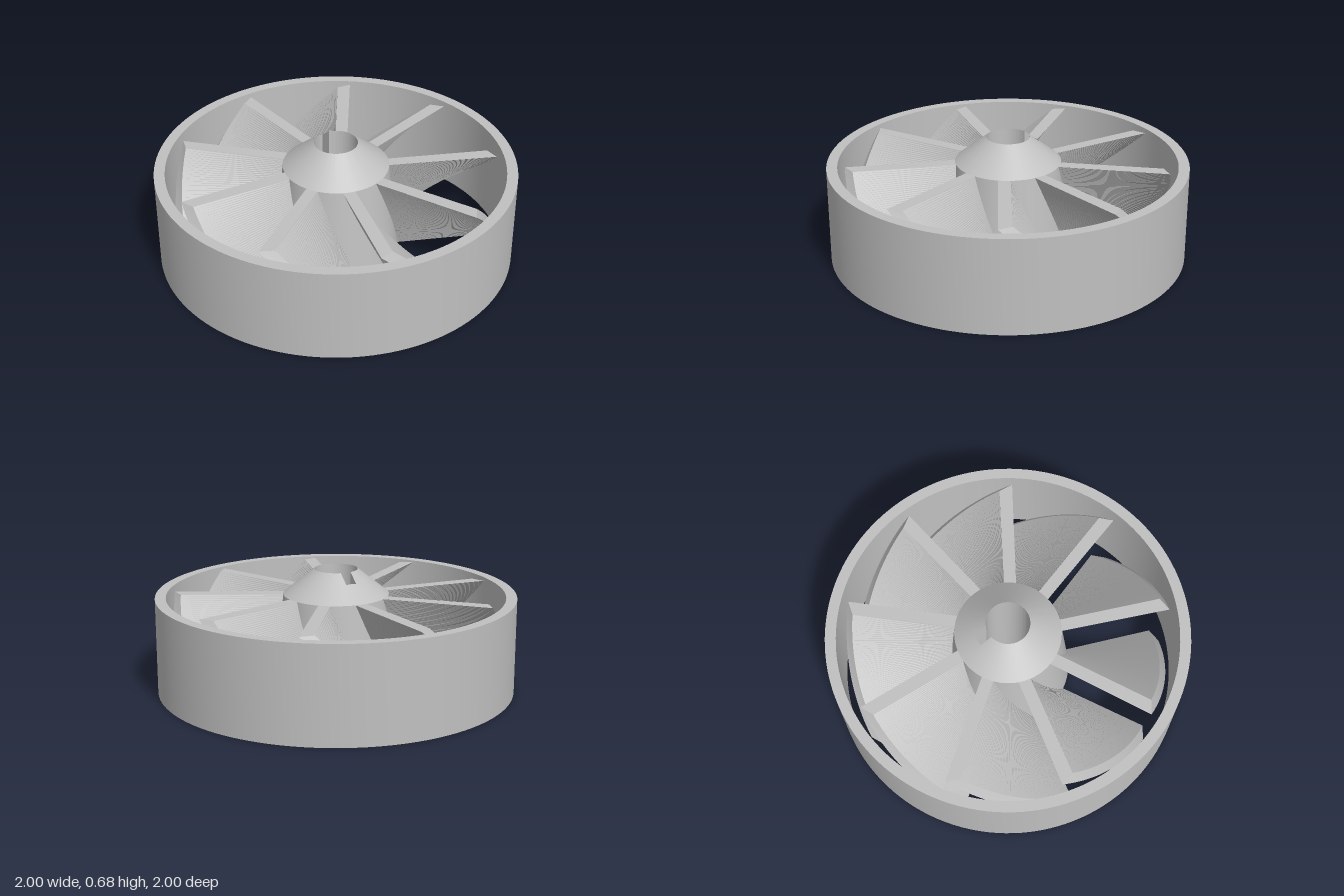
import * as THREE from 'three';
import { toCreasedNormals } from 'three/addons/utils/BufferGeometryUtils.js';

const H = 0.535;              // height of ring and blades
const BLADES = 9;
const TWIST = THREE.MathUtils.degToRad(41);

// Collects quads into a geometry with sharp edges kept
function quadBuilder() {
  const pos = [];
  return {
    quad(a, b, c, d) { for (const p of [a, b, c, a, c, d]) pos.push(...p); },
    build() {
      const g = new THREE.BufferGeometry();
      g.setAttribute('position', new THREE.Float32BufferAttribute(pos, 3));
      return toCreasedNormals(g, 0.5);
    }
  };
}

// Outer shroud: a plain rectangular section turned around the axis
function ringGeometry() {
  const profile = [[0.94, 0], [1, 0], [1, H], [0.94, H], [0.94, 0]]
    .map(([r, y]) => new THREE.Vector2(r, y));
  return toCreasedNormals(new THREE.LatheGeometry(profile, 128), 0.5);
}

// Tapered hub with cone top, through bore and keyway on the -z side
function hubGeometry() {
  const bore = 0.12, keyHalf = 0.03, keyDepth = 0.182, rTop = 0.294, rBottom = 0.353, peak = 0.675;
  const half = Math.asin(keyHalf / bore), steps = 90;
  const inner = [];
  for (let i = 0; i <= steps; i++) {
    const a = -Math.PI / 2 + half + (i / steps) * (2 * Math.PI - 2 * half);
    inner.push([bore * Math.cos(a), bore * Math.sin(a)]);
  }
  inner.push([-keyHalf, -keyDepth], [0, -keyDepth], [keyHalf, -keyDepth]);

  // Section of the hub wall through one point of the bore outline
  const columns = inner.map(([x, z]) => {
    const r = Math.hypot(x, z), c = x / r, s = z / r;
    const y = peak - (peak - H) * (r - bore) / (rTop - bore);
    return [[x, 0, z], [x, y, z], [rTop * c, H, rTop * s], [rBottom * c, 0, rBottom * s]];
  });
  const b = quadBuilder();
  columns.forEach((col, i) => {
    const next = columns[(i + 1) % columns.length];
    for (let k = 0; k < 4; k++) {
      const m = (k + 1) % 4;
      b.quad(col[k], next[k], next[m], col[m]);
    }
  });
  return b.build();
}

// Blade: a four-cornered section with slanted tip, twisted over its height
function bladeGeometry() {
  const outline = [[-0.033, -0.25], [-0.09, -0.855], [-0.02, -0.898], [0.034, -0.25]];
  const slices = 60;
  const section = (i) => {
    const t = -TWIST * (1 - i / slices), c = Math.cos(t), s = Math.sin(t);
    return outline.map(([x, z]) => [x * c - z * s, H * i / slices, x * s + z * c]);
  };
  const b = quadBuilder();
  for (let i = 0; i < slices; i++) {
    const lo = section(i), hi = section(i + 1);
    for (let k = 0; k < 4; k++) {
      const m = (k + 1) % 4;
      b.quad(lo[k], hi[k], hi[m], lo[m]);
    }
  }
  b.quad(...section(0));
  b.quad(...section(slices).reverse());
  return b.build();
}

export function createModel() {
  const group = new THREE.Group();
  group.name = 'ductedImpeller';
  const grey = new THREE.MeshStandardMaterial({ color: 0xc0c0c0 });
  grey.name = 'light grey';

  const add = (name, geometry, turn = 0) => {
    const mesh = new THREE.Mesh(geometry, grey);
    mesh.name = name;
    mesh.rotation.y = turn;
    group.add(mesh);
  };

  add('outerRing', ringGeometry());
  add('hub', hubGeometry());
  const blade = bladeGeometry();
  for (let i = 0; i < BLADES; i++) add(`blade${i + 1}`, blade, (i / BLADES) * Math.PI * 2);
  return group;
}
